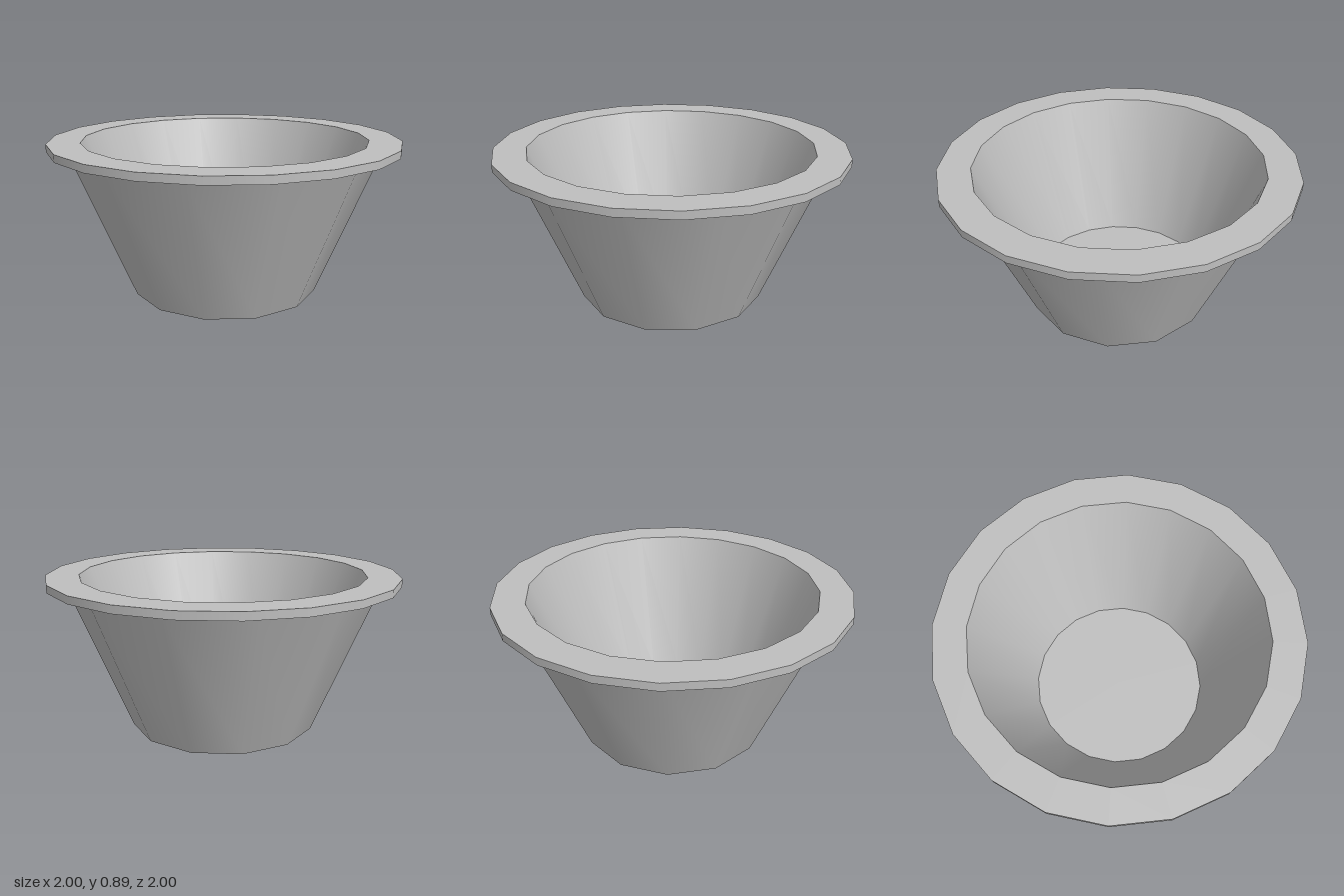
import * as THREE from 'three';

export function createModel() {
  const model = new THREE.Group();
  const grey = new THREE.MeshStandardMaterial({ color: 0xbfbfbf });
  grey.name = 'grey';

  // One ring of surface swept between two [radius, height] points;
  // separate rings keep the edges between them sharp.
  const ring = (name, sides, from, to) => {
    const points = [from, to].map(([r, y]) => new THREE.Vector2(r, y));
    const mesh = new THREE.Mesh(new THREE.LatheGeometry(points, sides), grey);
    mesh.name = name;
    model.add(mesh);
  };

  // Tapered twelve-sided body
  ring('base', 12, [0, 0], [0.538, 0]);
  ring('outerWall', 12, [0.538, 0], [0.884, 0.838]);

  // Twenty-sided flange
  ring('flangeUnderside', 20, [0.83, 0.829], [1, 0.85]);
  ring('flangeEdge', 20, [1, 0.85], [1, 0.893]);
  ring('flangeTop', 20, [1, 0.893], [0.815, 0.893]);

  // Twenty-sided hollow
  ring('innerWall', 20, [0.815, 0.893], [0.517, 0.09]);
  ring('floor', 20, [0.517, 0.09], [0, 0.09]);

  return model;
}
